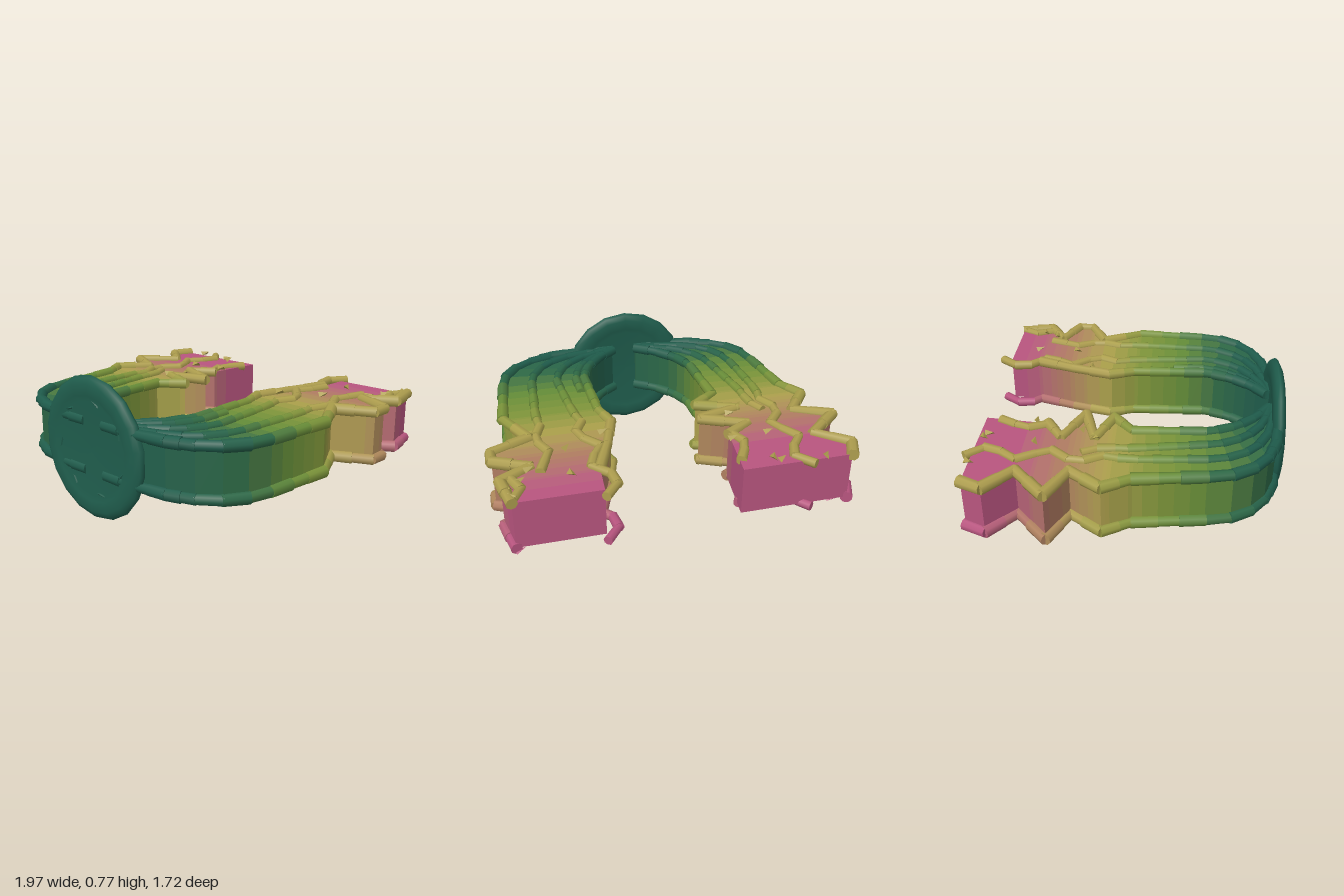
import * as THREE from 'three';

const LOW = 0.262, HIGH = 0.53, BEND_END = 0.42, BACK = -0.79;

// Colour runs from the front (first) to the back (last)
const HUES = [0x1f5c4c, 0x2f6a45, 0x648c38, 0x7f953a, 0xada04c, 0xb07a62, 0xb8557f].map(c => new THREE.Color(c));

function hueAt(z) {
  const t = THREE.MathUtils.clamp((0.8 - z) / 0.25, 0, HUES.length - 1.001);
  const i = Math.floor(t);
  return HUES[i].clone().lerp(HUES[i + 1], t - i);
}
// Upper vines stop at gold, lower ones go on to pink
const upperHue = z => hueAt(Math.max(z * 1.2, -0.22));
const lowerHue = z => hueAt(z);

// Outlines are [distance from centre, z], front to back; vines are
// [fraction across at front, at back, start z, end z, wiggle]
const ARMS = [
  {
    name: 'leftArm', side: 1, shift: 0,
    inner: [[0.33, BEND_END], [0.32, 0], [0.275, -0.15], [0.34, -0.38], [0.42, -0.6], [0.43, BACK]],
    outer: [[0.83, BEND_END], [0.86, 0.02], [0.74, -0.22], [0.95, -0.32], [0.95, -0.41], [0.76, -0.5], [0.92, -0.6], [0.88, BACK]],
    vines: [[0.34, 0.12, 1, -0.84, 0.05], [0.65, 0.68, 1, -0.56, 0.03], [0.97, 1.05, -0.6, -0.77, 0.04], [0.1, 0.1, 1, 0.25, 0]],
  },
  {
    name: 'rightArm', side: -1, shift: 0.12,
    inner: [[0.36, BEND_END], [0.375, 0.03], [0.24, -0.08], [0.46, -0.17], [0.215, -0.24], [0.46, -0.35], [0.32, -0.44], [0.28, BACK]],
    outer: [[0.77, BEND_END], [0.81, 0.05], [0.89, -0.1], [0.76, -0.27], [0.965, -0.37], [0.77, -0.54], [0.93, -0.68], [0.88, BACK]],
    vines: [[0.65, 0.57, 1, -0.82, 0.05], [0.32, 0.45, 1, -0.22, 0.03], [-0.05, -0.1, -0.45, -0.7, 0.03], [0.25, -0.25, -0.36, -0.27, 0]],
  },
];

function addMesh(parent, geometry, color, name, flatShading = true) {
  const mesh = new THREE.Mesh(geometry, new THREE.MeshStandardMaterial({ color, flatShading }));
  mesh.name = name;
  parent.add(mesh);
  return mesh;
}

// Distance from centre of an outline at depth z
function xAt(line, z) {
  for (let i = 1; i < line.length; i++) {
    const [xa, za] = line[i - 1], [xb, zb] = line[i];
    if (z >= zb) return xa + (xb - xa) * Math.max(0, (za - z) / (za - zb));
  }
  return line[line.length - 1][0];
}

// Curve from the disc round to the straight part of an outline
function bend(line, z0, dx, cz) {
  const end = line[0][0];
  const curve = new THREE.QuadraticBezierCurve(
    new THREE.Vector2(0.08, z0), new THREE.Vector2(end - dx, cz), new THREE.Vector2(end, BEND_END));
  return curve.getPoints(6).map(p => [p.x, p.y]);
}

// Arm body: slices between paired inner and outer points
function buildBody(arm, innerBend, outerBend, group) {
  const stations = innerBend.map((p, i) => [p, outerBend[i]]);
  const depths = [...arm.inner, ...arm.outer].map(p => p[1]);
  for (let z = 0.34; z > BACK; z -= 0.08) depths.push(z);
  depths.sort((a, b) => b - a);
  let last = BEND_END;
  for (const z of depths) {
    if (last - z < 0.012 && z !== BACK) continue;
    if (z === last) continue;
    stations.push([[xAt(arm.inner, z), z], [xAt(arm.outer, z), z]]);
    last = z;
  }
  for (let k = 0; k + 1 < stations.length; k++) {
    const ring = [...stations[k], stations[k + 1][1], stations[k + 1][0]];
    const corners = [LOW, HIGH].flatMap(y => ring.flatMap(([x, z]) => [x * arm.side, y, z]));
    const quads = [[4, 5, 6, 7], [3, 2, 1, 0], [1, 2, 6, 5], [3, 0, 4, 7]];
    if (k === 0) quads.push([0, 1, 5, 4]);
    if (k === stations.length - 2) quads.push([2, 3, 7, 6]);
    const geometry = new THREE.BufferGeometry();
    geometry.setAttribute('position', new THREE.Float32BufferAttribute(corners, 3));
    geometry.setIndex(quads.flatMap(([a, b, c, d]) => arm.side > 0 ? [a, b, c, a, c, d] : [a, c, b, a, d, c]));
    geometry.computeVertexNormals();
    const middle = ring.reduce((sum, p) => sum + p[1], 0) / 4;
    addMesh(group, geometry, hueAt(middle - arm.shift), 'armSlice');
  }
}

// Short capped rods laid end to end along a path
function buildVine(path, side, y, hue, radius, group, name) {
  const vine = new THREE.Group();
  vine.name = name;
  for (let i = 1; i < path.length; i++) {
    const [a, b] = [path[i - 1], path[i]].map(([x, z]) => new THREE.Vector3(x * side, y, z));
    const length = a.distanceTo(b), n = Math.ceil(length / 0.14);
    const direction = b.clone().sub(a).normalize();
    for (let j = 0; j < n; j++) {
      const p = a.clone().lerp(b, (j + 0.5) / n);
      const r = radius * (0.92 + 0.12 * ((i + j) % 2));
      const rod = addMesh(vine, new THREE.CylinderGeometry(r, r * 0.94, length / n + 0.016, 8), hue(p.z), 'rod', false);
      rod.position.copy(p);
      rod.quaternion.setFromUnitVectors(new THREE.Vector3(0, 1, 0), direction);
    }
  }
  group.add(vine);
}

// Path of a vine running over the arm between its two edges
function surfacePath(arm, innerBend, outerBend, [f0, f1, start, end, wiggle]) {
  const mix = THREE.MathUtils.lerp;
  const path = [];
  if (start > BEND_END) {
    innerBend.forEach(([x, z], i) => path.push([mix(x, outerBend[i][0], f0), mix(z, outerBend[i][1], f0)]));
  }
  const from = Math.min(start, BEND_END), steps = Math.ceil((from - end) / 0.09);
  for (let i = path.length ? 1 : 0; i <= steps; i++) {
    const z = mix(from, end, i / steps), ref = Math.max(z, 0.05);
    const sway = wiggle * Math.sin(z * 20) * THREE.MathUtils.clamp(-z * 4, 0, 1);
    path.push([mix(xAt(arm.inner, ref), xAt(arm.outer, ref), mix(f0, f1, i / steps)) + sway, z]);
  }
  return path;
}

// Loose splinters around the broken end
function buildSplinters(arm, group) {
  let seed = 5000 + 900 * arm.side;
  const random = () => (seed = (seed * 16807) % 2147483647) / 2147483647;
  for (let i = 0; i < 14; i++) {
    const low = i % 2 === 1, z = -0.12 - 0.68 * Math.sqrt(random());
    const x = THREE.MathUtils.lerp(xAt(arm.inner, z), xAt(arm.outer, z), random());
    const chip = addMesh(group, new THREE.TetrahedronGeometry(0.028), (low ? lowerHue : upperHue)(z), 'splinter');
    chip.position.set(x * arm.side, low ? LOW - 0.018 : HIGH + 0.018, z);
    chip.scale.set(1.5, 0.7, 0.8);
    chip.rotation.y = random() * 6.28;
  }
}

function buildArm(arm) {
  const group = new THREE.Group();
  group.name = arm.name;
  const innerBend = bend(arm.inner, 0.785, 0.04, 0.64);
  const outerBend = bend(arm.outer, 0.82, 0.03, 0.86);
  buildBody(arm, innerBend, outerBend, group);
  for (const [y, hue] of [[HIGH, upperHue], [LOW, lowerHue]]) {
    buildVine([...innerBend, ...arm.inner.slice(1, -1)], arm.side, y, hue, 0.031, group, 'innerEdgeVine');
    buildVine([...outerBend, ...arm.outer.slice(1)], arm.side, y, hue, 0.033, group, 'outerEdgeVine');
    for (const vine of arm.vines) {
      buildVine(surfacePath(arm, innerBend, outerBend, vine), arm.side, y, hue, 0.028, group, 'surfaceVine');
    }
  }
  buildSplinters(arm, group);
  return group;
}

// Disc with a rounded rim and a shallow recess on both faces
function buildDisc() {
  const disc = new THREE.Group();
  disc.name = 'frontDisc';
  const half = [[0, 0.014], [0.255, 0.018], [0.285, 0.034], [0.345, 0.033], [0.375, 0.018]];
  const back = half.map(([r, h]) => new THREE.Vector2(r, -h));
  const front = half.map(([r, h]) => new THREE.Vector2(r, h)).reverse();
  const plate = addMesh(disc, new THREE.LatheGeometry([...back, new THREE.Vector2(0.387, 0), ...front], 18), HUES[0], 'plate', false);
  plate.rotation.x = Math.PI / 2;
  for (let i = 0; i < 7; i++) {
    const angle = i * 0.9 + 0.5;
    const chip = addMesh(disc, new THREE.TetrahedronGeometry(0.03), HUES[0], 'discChip');
    chip.position.set(0.25 * Math.cos(angle), 0.25 * Math.sin(angle), 0.014);
    chip.rotation.z = angle;
    chip.scale.set(0.7, 1.6, 0.5);
  }
  disc.position.set(-0.015, 0.388, 0.822);
  return disc;
}

export function createModel() {
  const model = new THREE.Group();
  model.name = 'clasp';
  model.add(buildDisc(), ...ARMS.map(buildArm));
  return model;
}
